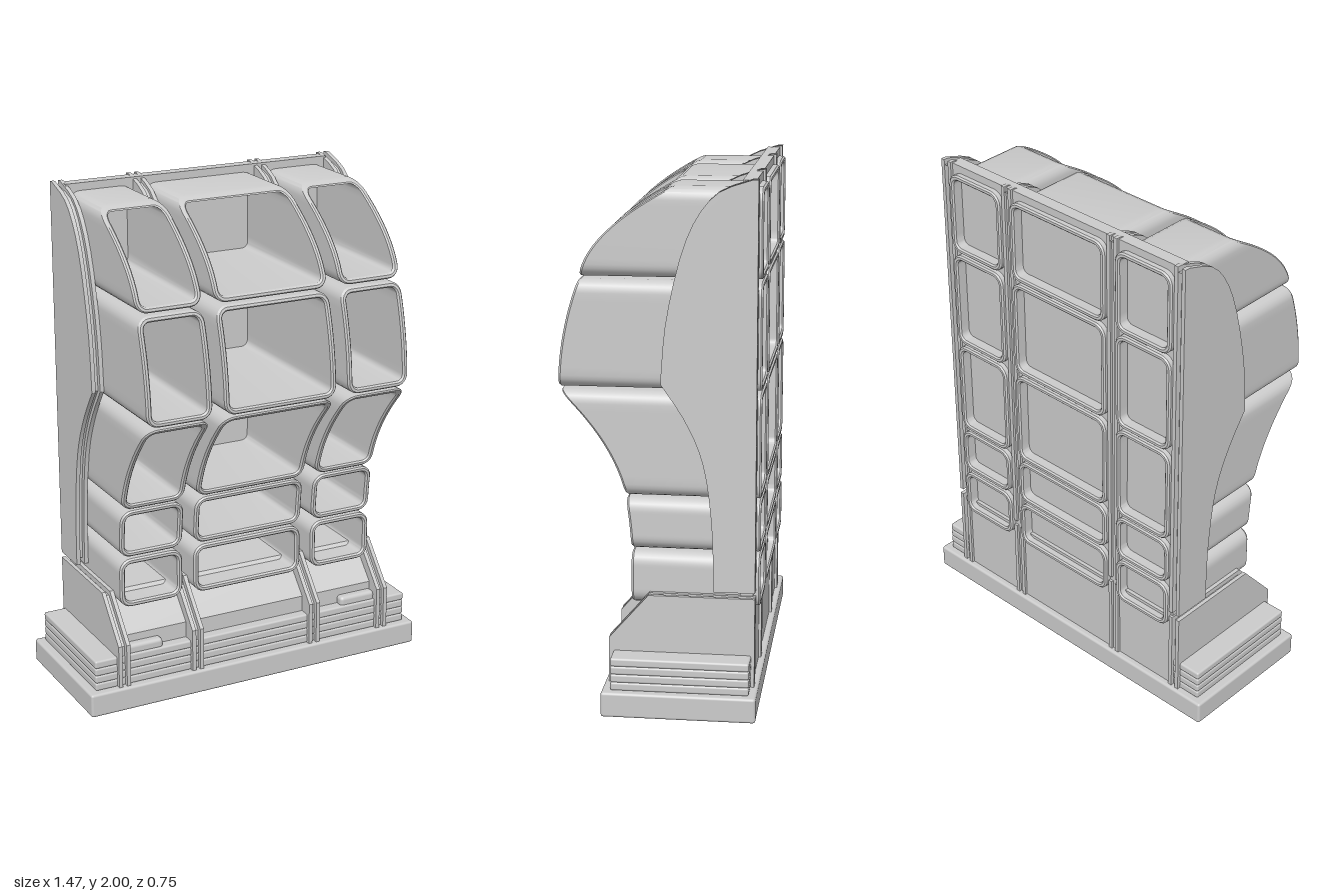
import * as THREE from 'three';
import { toCreasedNormals } from 'three/addons/utils/BufferGeometryUtils.js';
import { RoundedBoxGeometry } from 'three/addons/geometries/RoundedBoxGeometry.js';

const material = new THREE.MeshStandardMaterial({ color: 0xcccccc });

// columns: [x min, x max]
const COLUMNS = [[-0.56, -0.29], [-0.24, 0.24], [0.29, 0.56]];

// rows: bottom, top, and three [y, z] points of the curved front edge
const ROWS = [
  { y0: 0.39, y1: 0.592, front: [[0.39, 0.11], [0.49, 0.11], [0.592, 0.11]] },
  { y0: 0.602, y1: 0.8, front: [[0.602, 0.11], [0.7, 0.117], [0.8, 0.13]] },
  { y0: 0.808, y1: 1.207, front: [[0.808, 0.13], [0.95, 0.18], [1.207, 0.378]] },
  { y0: 1.217, y1: 1.621, front: [[1.217, 0.38], [1.42, 0.36], [1.621, 0.303]] },
  { y0: 1.631, y1: 1.965, front: [[1.631, 0.3], [1.83, 0.165], [1.965, -0.045]] },
];

const WALL = 0.022;
const CELL_BACK = -0.375;

// quadratic through three points
function curve([[a, p], [b, q], [c, r]]) {
  return y =>
    p * (y - b) * (y - c) / ((a - b) * (a - c)) +
    q * (y - a) * (y - c) / ((b - a) * (b - c)) +
    r * (y - a) * (y - b) / ((c - a) * (c - b));
}

// rounded rectangle, counter-clockwise, inset by d, with extra points up the sides
function roundedLoop(x0, x1, y0, y1, d) {
  const r = 0.048 - d, corner = 5, side = 10, pts = [];
  x0 += d; x1 -= d; y0 += d; y1 -= d;
  const arc = (cx, cy, start) => {
    for (let i = 0; i <= corner; i++) {
      const a = start + (i / corner) * Math.PI / 2;
      pts.push([cx + r * Math.cos(a), cy + r * Math.sin(a)]);
    }
  };
  const edge = (x, ya, yb) => {
    for (let i = 1; i < side; i++) pts.push([x, ya + (yb - ya) * i / side]);
  };
  arc(x1 - r, y0 + r, -Math.PI / 2);
  edge(x1, y0 + r, y1 - r);
  arc(x1 - r, y1 - r, 0);
  arc(x0 + r, y1 - r, Math.PI / 2);
  edge(x0, y1 - r, y0 + r);
  arc(x0 + r, y0 + r, Math.PI);
  return pts;
}

// open tube with a rolled rim whose front follows the row's curve
function cellGeometry([x0, x1], row) {
  const f = curve(row.front);
  const rings = [
    [0, () => CELL_BACK + 0.006],
    [0, y => f(y) - 0.008],
    [0.006, y => f(y)],
    [WALL - 0.006, y => f(y)],
    [WALL, y => f(y) - 0.008],
    [WALL, () => CELL_BACK + 0.006],
    [WALL - 0.006, () => CELL_BACK],
    [0.006, () => CELL_BACK],
  ];
  const pos = [], idx = [];
  let n = 0;
  for (const [d, z] of rings) {
    const loop = roundedLoop(x0, x1, row.y0, row.y1, d);
    n = loop.length;
    for (const [x, y] of loop) pos.push(x, y, z(y));
  }
  for (let k = 0; k < rings.length; k++) {
    const m = (k + 1) % rings.length;
    for (let i = 0; i < n; i++) {
      const j = (i + 1) % n;
      const a = k * n + i, b = k * n + j, c = m * n + j, e = m * n + i;
      idx.push(a, b, c, a, c, e);
    }
  }
  const g = new THREE.BufferGeometry();
  g.setAttribute('position', new THREE.Float32BufferAttribute(pos, 3));
  g.setIndex(idx);
  return toCreasedNormals(g, 0.5);
}

// extrude a (z, y) profile across x, centred on x
function slab(profile, width, x) {
  const shape = new THREE.Shape(profile.map(([z, y]) => new THREE.Vector2(z, y)));
  const g = new THREE.ExtrudeGeometry(shape, { depth: width, bevelEnabled: false });
  g.rotateY(-Math.PI / 2).translate(x + width / 2, 0, 0);
  return toCreasedNormals(g, 0.5);
}

// upper rib outline, inset by d
function upperProfile(d) {
  const spline = points => new THREE.SplineCurve(points.map(p => new THREE.Vector2(...p)))
    .getPoints(14).map(p => [p.x - d, p.y]);
  const lower = spline([[-0.205, 0.465 + d], [-0.197, 0.72], [-0.165, 0.95], [-0.1, 1.11], [-0.008, 1.25]]);
  const upper = spline([[-0.008, 1.27], [-0.03, 1.5], [-0.1, 1.78], [-0.2, 1.94], [-0.34, 2 - d]]);
  return [[-0.36 + d, 0.465 + d], ...lower, ...upper, [-0.36 + d, 2 - d]];
}

// lower rib outline, inset by d
function lowerProfile(d) {
  return [[-0.36 + d, 0.09], [0.19 - d, 0.09], [0.19 - d, 0.27 - d / 2],
    [0.04 - d / 2, 0.442 - d], [-0.36 + d, 0.442 - d]];
}

export function createModel() {
  const model = new THREE.Group();
  const add = (geometry, name, parent = model) => {
    const mesh = new THREE.Mesh(geometry, material);
    mesh.name = name;
    parent.add(mesh);
    return mesh;
  };
  const group = name => {
    const g = new THREE.Group();
    g.name = name;
    model.add(g);
    return g;
  };

  // plinth and its four stacked steps
  add(new RoundedBoxGeometry(1.47, 0.096, 0.58, 2, 0.01), 'plinth').position.set(0, 0.048, -0.085);
  const steps = group('plinthSteps');
  for (let i = 0; i < 4; i++) {
    add(new RoundedBoxGeometry(1.404, 0.032, 0.52, 2, 0.008), 'step', steps)
      .position.set(0, 0.11 + i * 0.0315, -0.087);
  }

  // sloping body under the cells
  add(slab([[-0.345, 0.09], [0.13, 0.09], [0.13, 0.285], [0.0, 0.425], [-0.345, 0.425]], 1.14, 0), 'lowerBody');

  // small raised tabs on the top step
  for (const s of [-1, 1]) {
    add(new RoundedBoxGeometry(0.16, 0.045, 0.045, 3, 0.015), 'tab').position.set(s * 0.485, 0.232, 0.142);
  }

  // back panel, pierced where the cells pass through
  const panel = new THREE.Shape([[-0.57, 0.09], [0.57, 0.09], [0.57, 1.995], [-0.57, 1.995]]
    .map(p => new THREE.Vector2(...p)));
  const e = 0.016;
  for (const [x0, x1] of COLUMNS) for (const { y0, y1 } of ROWS) {
    panel.holes.push(new THREE.Path([[x0 + e, y0 + e], [x0 + e, y1 - e], [x1 - e, y1 - e], [x1 - e, y0 + e]]
      .map(p => new THREE.Vector2(...p))));
  }
  const panelGeometry = new THREE.ExtrudeGeometry(panel, { depth: 0.05, bevelEnabled: false });
  add(panelGeometry.translate(0, 0, -0.35), 'backPanel');

  // cells with a recessed plate closing each one
  const cells = group('cells');
  for (const column of COLUMNS) for (const row of ROWS) {
    add(cellGeometry(column, row), 'cell', cells);
    const w = column[1] - column[0] - 2 * e, h = row.y1 - row.y0 - 2 * e;
    add(new THREE.BoxGeometry(w, h, 0.02), 'cellPlate', cells)
      .position.set((column[0] + column[1]) / 2, (row.y0 + row.y1) / 2, -0.32);
  }

  // ribs: two cheeks around a recessed core
  const ribs = group('ribs');
  for (const x of [-0.585, -0.265, 0.265, 0.585]) {
    for (const [profile, name] of [[upperProfile, 'upperRib'], [lowerProfile, 'lowerRib']]) {
      for (const s of [-1, 1]) add(slab(profile(0), 0.016, x + s * 0.017), name + 'Cheek', ribs);
      add(slab(profile(0.02), 0.02, x), name + 'Core', ribs);
    }
  }
  return model;
}
